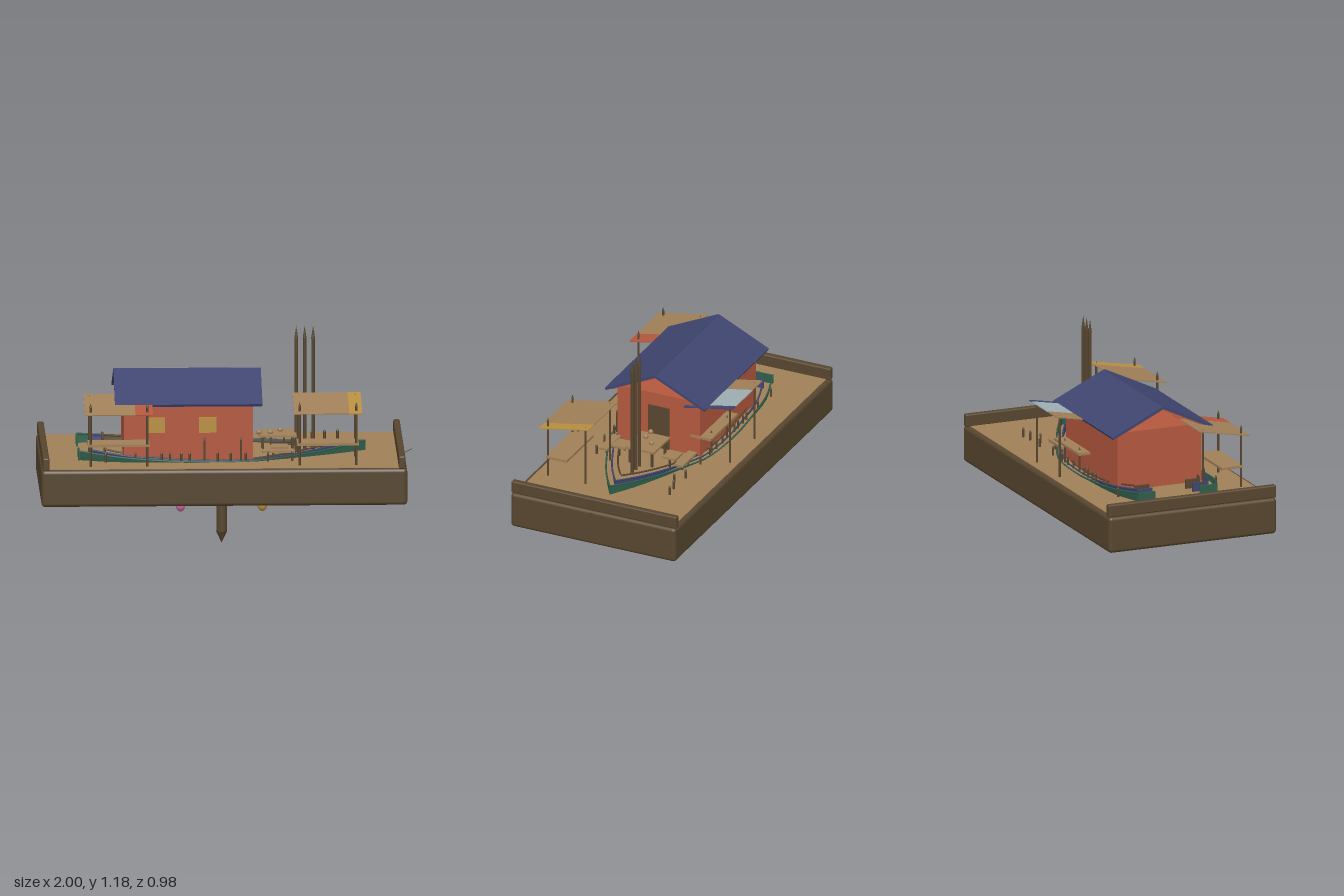
import * as THREE from 'three';
import { RoundedBoxGeometry } from 'three/addons/geometries/RoundedBoxGeometry.js';

function mat(name, color, side = THREE.FrontSide) {
  const m = new THREE.MeshStandardMaterial({ color, side });
  m.name = name;
  return m;
}

export function createModel() {
  const root = new THREE.Group();
  root.name = 'floatingMarket';
  const M = {
    timber: mat('dark timber', 0x57462f),
    plank: mat('tan plank', 0xa08058, THREE.DoubleSide),
    rust: mat('rust', 0xb4583e, THREE.DoubleSide),
    navy: mat('navy', 0x3f4570, THREE.DoubleSide),
    green: mat('green', 0x2f5f4b, THREE.DoubleSide),
    gold: mat('gold', 0xb98f42),
    pink: mat('pink', 0xc4689c),
    pale: mat('pale blue', 0x9fb0b4),
  };

  const add = (name, geo, m, x = 0, y = 0, z = 0, parent = root) => {
    const mesh = new THREE.Mesh(geo, m);
    mesh.name = name;
    mesh.position.set(x, y, z);
    parent.add(mesh);
    return mesh;
  };
  // Box given by its minimum and maximum on each axis
  const span = (name, m, x0, x1, y0, y1, z0, z1, parent = root) =>
    add(name, new THREE.BoxGeometry(x1 - x0, y1 - y0, z1 - z0), m,
      (x0 + x1) / 2, (y0 + y1) / 2, (z0 + z1) / 2, parent);
  // Pointed round post standing on y0
  const post = (name, x, z, y0, y1, r, tip, parent = root) => {
    add(name, new THREE.CylinderGeometry(r, r, y1 - y0 - tip, 8), M.timber, x, (y0 + y1 - tip) / 2, z, parent);
    add(name + 'Tip', new THREE.ConeGeometry(r * 1.1, tip, 8), M.timber, x, y1 - tip / 2, z, parent);
  };

  // Platform with end rails
  add('platform', new RoundedBoxGeometry(1.96, 0.2, 0.98, 3, 0.02), M.timber, -0.02, 0.4, 0);
  span('deckPlanks', M.plank, -0.96, 0.92, 0.495, 0.503, -0.465, 0.465);
  for (const x of [-0.975, 0.932])
    add('endRail', new RoundedBoxGeometry(0.035, 0.07, 0.98, 2, 0.008), M.timber, x, 0.533, 0);

  // Keel post under the platform
  add('keelPost', new THREE.CylinderGeometry(0.029, 0.029, 0.27, 10), M.timber, -0.02, 0.195, 0);
  const keelTip = add('keelPostTip', new THREE.ConeGeometry(0.031, 0.065, 10), M.timber, -0.02, 0.0325, 0);
  keelTip.rotation.x = Math.PI;

  // Boat shells lofted through the platform
  const plan = new THREE.CatmullRomCurve3([
    [-0.79, 0.23], [-0.6, 0.285], [-0.35, 0.305], [-0.1, 0.31], [0.15, 0.285],
    [0.33, 0.215], [0.47, 0.155], [0.62, 0.08], [0.75, 0],
  ].map(([x, z]) => new THREE.Vector3(x, 0, z)));
  const sheer = (x) => 0.508 + 0.085 * Math.abs(x + 0.02) ** 2;
  function shell(scale, depthScale, m, name) {
    const stations = 32, ribs = 16, pos = [], idx = [];
    for (let i = 0; i <= stations; i++) {
      const p = plan.getPoint(i / stations);
      const top = sheer(p.x), keel = 0.258 + 0.13 * p.x * p.x;
      const x = -0.02 + (p.x + 0.02) * scale;
      for (let j = 0; j <= ribs; j++) {
        const a = -Math.PI / 2 + (Math.PI * j) / ribs;
        pos.push(x, top - (top - keel) * depthScale * Math.cos(a), p.z * scale * Math.sin(a));
        if (i < stations && j < ribs) {
          const k = i * (ribs + 1) + j, n = k + ribs + 1;
          idx.push(k, k + 1, n, n, k + 1, n + 1);
        }
      }
    }
    const g = new THREE.BufferGeometry();
    g.setAttribute('position', new THREE.Float32BufferAttribute(pos, 3));
    g.setIndex(idx);
    g.computeVertexNormals();
    add(name, g, m);
    // Rim along each side, and the stern corner pieces
    for (const s of [-1, 1]) {
      const pts = plan.getPoints(16).map((p) => new THREE.Vector3(
        -0.02 + (p.x + 0.02) * scale, sheer(p.x) - 0.004, s * p.z * scale));
      add(name + 'Rim', new THREE.TubeGeometry(new THREE.CatmullRomCurve3(pts), 32, 0.005, 5), m);
      const x = -0.02 - 0.77 * scale, z = s * 0.18 * scale;
      span(name + 'Stern', m, x - 0.005, x + 0.005, 0.5, 0.553, z - 0.05 * scale, z + 0.05 * scale);
    }
  }
  shell(1, 1, M.green, 'outerHull');
  shell(0.91, 0.6, M.navy, 'middleHull');
  shell(0.82, 0.5, M.timber, 'innerHull');

  // House
  span('houseWalls', M.rust, -0.55, 0.14, 0.5, 0.825, -0.245, 0.245);
  span('door', M.timber, 0.138, 0.146, 0.503, 0.75, -0.062, 0.062);
  for (const x of [-0.378, -0.102])
    span('window', M.gold, x - 0.046, x + 0.046, 0.655, 0.738, 0.244, 0.256);

  // Pitched roof with a lining beneath
  const slope = Math.atan2(0.14, 0.295), run = Math.hypot(0.14, 0.295);
  for (const s of [-1, 1]) {
    const panel = add('roofPanel', new THREE.BoxGeometry(0.79, 0.014, run), M.navy, -0.205, 0.882, s * 0.1475);
    panel.rotation.x = s * slope;
    const lining = add('roofLining', new THREE.BoxGeometry(0.77, 0.006, run - 0.04), M.rust, -0.205, 0.875, s * 0.135);
    lining.rotation.x = s * slope;
  }

  // Market stalls: sloping canopy in coloured strips, four posts and a counter
  function stall(name, x, z, strips) {
    const g = new THREE.Group();
    g.name = name;
    g.position.set(x, 0, z);
    root.add(g);
    const canopy = new THREE.Group();
    canopy.name = 'canopy';
    canopy.position.y = 0.8175;
    canopy.rotation.x = Math.atan2(0.055, 0.295);
    g.add(canopy);
    for (const [x0, x1, m] of strips)
      span('canopyStrip', m, x0, x1, -0.0025, 0.0025, -0.15, 0.15, canopy);
    for (const px of [-0.152, 0.152])
      for (const pz of [-0.115, 0.108]) post('stallPost', px, pz, 0.5, 0.85, 0.0065, 0.025, g);
    span('counter', M.plank, -0.165, 0.165, 0.61, 0.624, -0.01, 0.115, g);
  }
  stall('frontRightStall', -0.5825, 0.2875, [[-0.1825, 0.0875, M.plank], [0.0875, 0.1825, M.rust]]);
  stall('frontLeftStall', 0.5375, 0.2875, [[-0.1825, 0.1125, M.plank], [0.1125, 0.1825, M.gold]]);
  stall('backStall', -0.02, -0.3025, [[-0.1825, -0.06, M.plank], [-0.06, 0.15, M.pale], [0.15, 0.1825, M.navy]]);

  // Table with cups, side benches and stools
  span('tableTop', M.plank, 0.18, 0.38, 0.59, 0.602, -0.085, 0.085);
  for (const x of [0.2, 0.36])
    for (const z of [-0.065, 0.065]) span('tableLeg', M.timber, x - 0.006, x + 0.006, 0.5, 0.59, z - 0.006, z + 0.006);
  for (const [x, z] of [[0.17, 0.03], [0.23, 0.03], [0.285, -0.03]])
    add('cup', new THREE.SphereGeometry(0.014, 10, 8), M.plank, x + 0.01, 0.609, z);
  for (const s of [-1, 1]) {
    span('bench', M.plank, 0.19, 0.365, 0.54, 0.553, s * 0.225 - 0.025, s * 0.225 + 0.025);
    span('stool', M.plank, 0.24, 0.33, 0.55, 0.562, s * 0.15 - 0.04, s * 0.15 + 0.04);
    for (const x of [0.25, 0.32]) {
      span('benchLeg', M.timber, x - 0.005, x + 0.005, 0.5, 0.54, s * 0.225 - 0.005, s * 0.225 + 0.005);
      span('stoolLeg', M.timber, x - 0.005, x + 0.005, 0.5, 0.55, s * 0.15 - 0.005, s * 0.15 + 0.005);
    }
  }

  // Three tall mooring poles
  for (const x of [0.38, 0.425, 0.47]) post('mooringPole', x, 0, 0.5, 1.185, 0.0095, 0.07);

  // Small pegs beside the hull
  const pegs = [-0.65, -0.49, -0.35, -0.305, -0.245, -0.2, -0.05, 0.02, 0.1, 0.22];
  for (const x of pegs) {
    post('peg', x, 0.285, 0.5, 0.56, 0.006, 0.012);
    post('peg', x, -0.285, 0.5, 0.56, 0.006, 0.012);
  }
  for (const [x, z] of [[0.4, -0.285], [0.47, -0.25], [0.54, -0.28], [0.61, -0.29], [0.35, 0.27]])
    post('peg', x, z, 0.5, 0.56, 0.007, 0.012);
  for (const s of [-1, 1])
    for (const x of [-0.12, 0.075]) post('tallPeg', x, s * 0.28, 0.5, 0.64, 0.006, 0.02);

  // Hanging wire with lanterns
  const sag = (x) => 0.235 + 0.262 * (x + 0.02) ** 2;
  const wire = [];
  for (let i = 0; i <= 20; i++) {
    const x = -0.98 + (1.98 * i) / 20;
    wire.push(new THREE.Vector3(x, sag(x), 0));
  }
  add('lanternWire', new THREE.TubeGeometry(new THREE.CatmullRomCurve3(wire), 60, 0.002, 5), M.timber);
  const lanterns = [[-0.675, M.rust], [-0.458, M.gold], [-0.24, M.pink], [0.198, M.gold], [0.415, M.pink], [0.635, M.pink]];
  for (const [x, m] of lanterns)
    add('lantern', new THREE.SphereGeometry(0.026, 14, 10), m, x, sag(x) - 0.042, 0).scale.y = 1.3;
  for (const [x, m] of [[-0.225, M.rust], [0.18, M.gold]])
    add('upperLantern', new THREE.SphereGeometry(0.022, 12, 8), m, x, 0.277, 0);

  return root;
}
